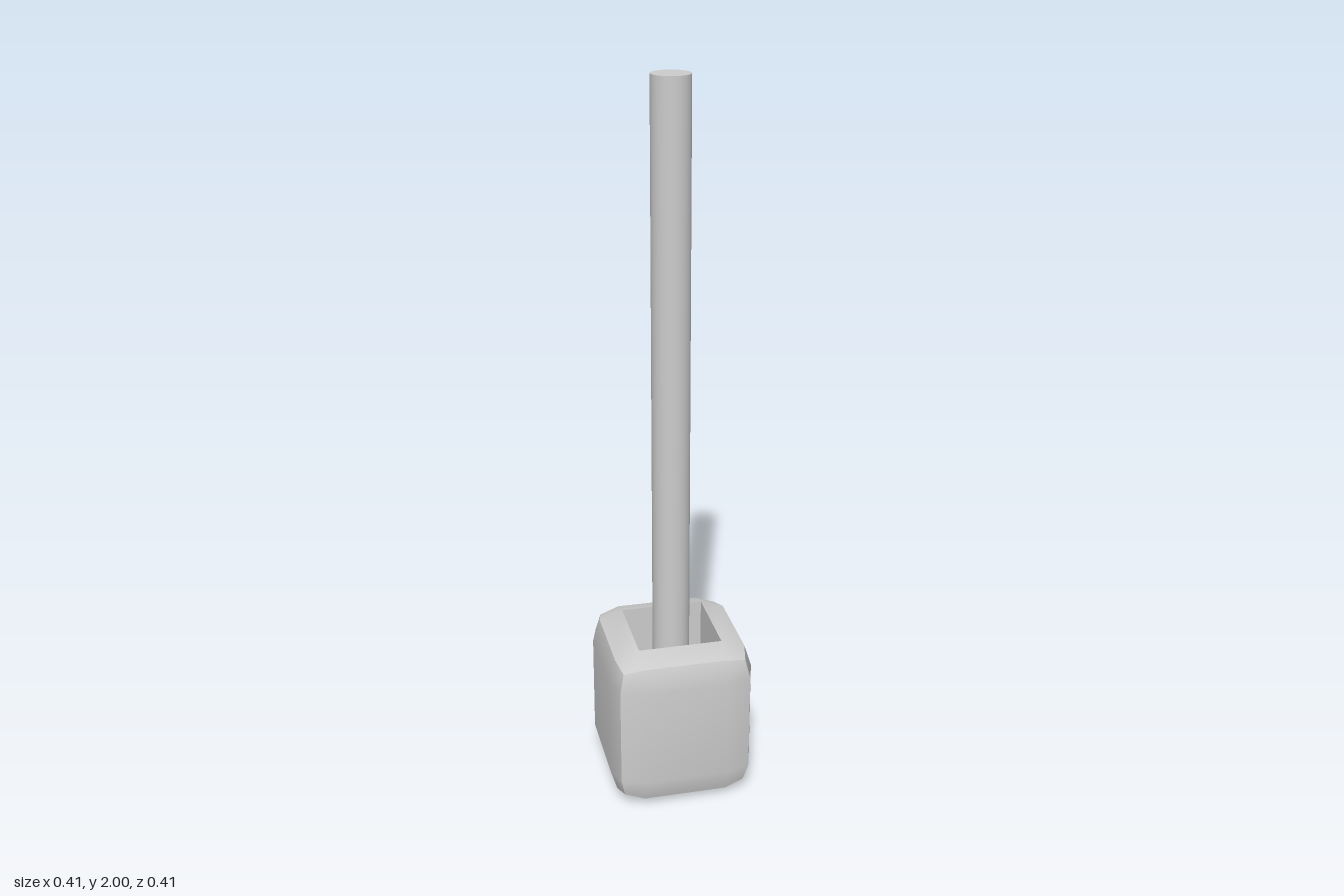
import * as THREE from 'three';

const HALF = 0.204;      // half width of the holder
const HALF_Y = 0.2325;   // half height of the holder
const WELL = 0.117;      // half width of the square opening
const FLOOR = 0.09;      // height of the well floor

// Drop a run of triangles (given in index entries) from an indexed geometry
function cut(geometry, start, count) {
  const index = Array.from(geometry.index.array);
  index.splice(start, count);
  geometry.setIndex(index);
  geometry.clearGroups();
  return geometry;
}

// Cube of 3 x 3 cells per side, bulged: edges and corners pulled inwards
function holderGeometry() {
  const g = new THREE.BoxGeometry(3, 3, 3, 3, 3, 3);
  const pull = [1, 0.9, 0.84];
  const p = g.attributes.position;
  for (let i = 0; i < p.count; i++) {
    const v = [p.getX(i), p.getY(i), p.getZ(i)];
    const outer = v.filter((c) => Math.abs(c) > 1).length;
    const [x, y, z] = v.map((c, axis) => {
      const inner = axis === 1 ? 0.143 : WELL;
      const half = axis === 1 ? HALF_Y : HALF;
      return Math.sign(c) * (Math.abs(c) > 1 ? half * pull[outer - 1] : inner);
    });
    p.setXYZ(i, x, y + HALF_Y, z);
  }
  // open the middle cell of the top side (third side, fifth cell)
  cut(g, 2 * 54 + 4 * 6, 6);
  g.computeVertexNormals();
  return g;
}

// Inward-facing box without a lid
function wellGeometry() {
  const height = 2 * HALF_Y - FLOOR;
  const g = cut(new THREE.BoxGeometry(2 * WELL, height, 2 * WELL), 12, 6);
  g.scale(-1, 1, 1);
  g.translate(0, FLOOR + height / 2, 0);
  g.computeVertexNormals();
  return g;
}

export function createModel() {
  const model = new THREE.Group();
  const material = new THREE.MeshStandardMaterial({ color: 0xcccccc });
  const add = (name, geometry) => {
    const mesh = new THREE.Mesh(geometry, material);
    mesh.name = name;
    model.add(mesh);
    return mesh;
  };

  add('holder', holderGeometry());
  add('holderWell', wellGeometry());

  // Rod standing on the floor of the well
  const rod = add('rod', new THREE.CylinderGeometry(0.052, 0.052, 2 - FLOOR, 32));
  rod.position.y = (2 + FLOOR) / 2;

  return model;
}
